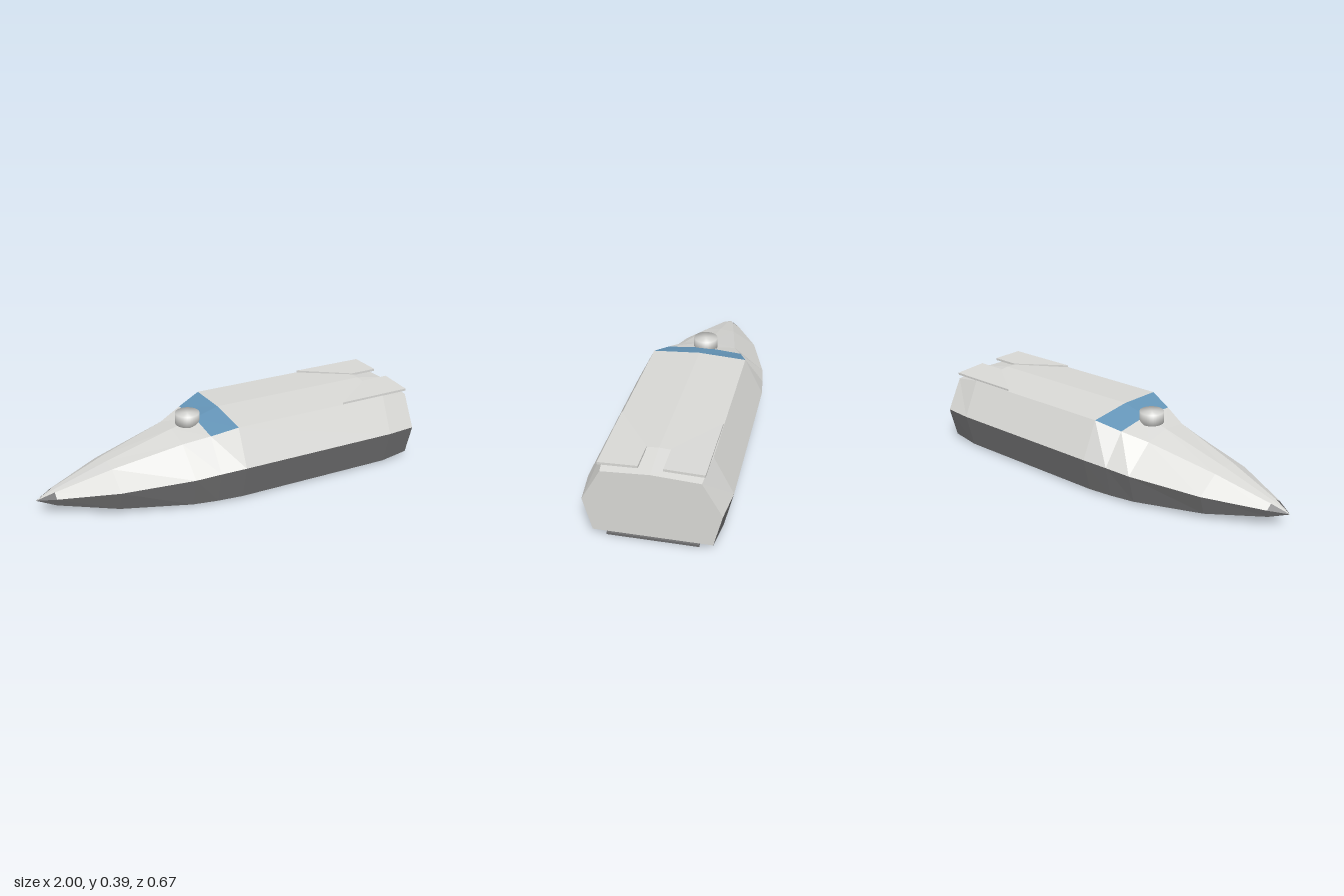
import * as THREE from 'three';
import { mergeVertices } from 'three/addons/utils/BufferGeometryUtils.js';

const mat = (name, color, flatShading = true) => {
  const m = new THREE.MeshStandardMaterial({ color, flatShading });
  m.name = name;
  return m;
};

// Hull stations: x, bottom [z, y], chine [z, y], shoulder [z, y], ridge y
const stations = [
  [-1.0, [0, 0.085], [0, 0.085], [0, 0.085], 0.085],
  [-0.91, [0.045, 0.06], [0.06, 0.1], [0.025, 0.122], 0.125],
  [-0.63, [0.165, 0.03], [0.2, 0.135], [0.078, 0.208], 0.217],
  [-0.28, [0.26, 0.014], [0.3, 0.17], [0.142, 0.295], 0.318],
  [-0.15, [0.278, 0.011], [0.317, 0.181], [0.195, 0.335], 0.352],
  [-0.02, [0.29, 0.01], [0.333, 0.19], [0.24, 0.375], 0.39],
  [0.84, [0.29, 0.01], [0.333, 0.19], [0.24, 0.375], 0.39],
  [1.0, [0.272, 0.022], [0.313, 0.186], [0.222, 0.347], 0.36],
];

// Ring of seven points running from the -z keel edge over the ridge to the +z keel edge
const rings = stations.map(([x, b, c, s, r]) => [
  [x, b[1], -b[0]], [x, c[1], -c[0]], [x, s[1], -s[0]], [x, r, 0],
  [x, s[1], s[0]], [x, c[1], c[0]], [x, b[1], b[0]],
]);

function createModel() {
  const model = new THREE.Group();
  const light = mat('light grey paint', 0xd8d8d5);
  const dark = mat('dark grey paint', 0x6e6e6f);
  const blue = mat('blue glass', 0x6596b9);
  const smooth = mat('light grey dome', 0xd8d8d5, false);
  smooth.color = light.color;

  const add = (name, geometry, material) => {
    const mesh = new THREE.Mesh(geometry, material);
    mesh.name = name;
    model.add(mesh);
    return mesh;
  };

  // Sort the hull panels into lower hull, upper hull and windscreen
  const panels = { lowerHull: [], upperHull: [], windscreen: [] };
  for (let i = 0; i < rings.length - 1; i++) {
    for (let k = 0; k < 7; k++) {
      const n = (k + 1) % 7;
      const a = rings[i][k], b = rings[i][n], c = rings[i + 1][n], d = rings[i + 1][k];
      const deck = k === 2 || k === 3;
      const below = k === 0 || k >= 5;
      const noseTip = i === 0 && !deck;
      const part = below || noseTip ? 'lowerHull' : deck && i === 4 ? 'windscreen' : 'upperHull';
      if (i > 0) panels[part].push(a, b, c);
      panels[part].push(a, c, d);
    }
  }
  // Transom closing the stern
  const stern = rings[rings.length - 1];
  for (let k = 1; k < 6; k++) panels.upperHull.push(stern[0], stern[k], stern[k + 1]);

  const paint = { lowerHull: dark, upperHull: light, windscreen: blue };
  for (const part in panels) {
    const g = new THREE.BufferGeometry();
    g.setAttribute('position', new THREE.Float32BufferAttribute(panels[part].flat(), 3));
    g.computeVertexNormals();
    add(part, g, paint[part]);
  }

  // Pair of thin stern flaps following the slope of the deck
  for (const side of [1, -1]) {
    const outline = [[0.59, 0.238], [0.84, 0.055], [0.99, 0.055], [0.99, 0.235]];
    const shape = new THREE.Shape(outline.map(([x, z]) => new THREE.Vector2(x, side * z)));
    const g = new THREE.ExtrudeGeometry(shape, { depth: 0.012, bevelEnabled: false });
    g.rotateX(Math.PI / 2);
    const p = g.attributes.position;
    for (let i = 0; i < p.count; i++) p.setY(i, p.getY(i) + 0.394 - 0.033 * Math.abs(p.getZ(i)));
    g.computeVertexNormals();
    add(side > 0 ? 'leftDeckFlap' : 'rightDeckFlap', g, light);
  }

  // Trim plate under the stern, tilted slightly down
  const trim = add('trimPlate', new THREE.BoxGeometry(0.16, 0.012, 0.42), dark);
  trim.position.set(0.919, 0.0105, 0);
  trim.rotation.z = -0.055;

  // Round turret on the foredeck, with normals blended over its rim
  const drum = new THREE.CylinderGeometry(0.062, 0.062, 0.058, 32);
  drum.deleteAttribute('normal');
  drum.deleteAttribute('uv');
  const turret = mergeVertices(drum);
  turret.computeVertexNormals();
  add('turret', turret, smooth).position.set(-0.19, 0.362, 0);

  return model;
}

export { createModel };
